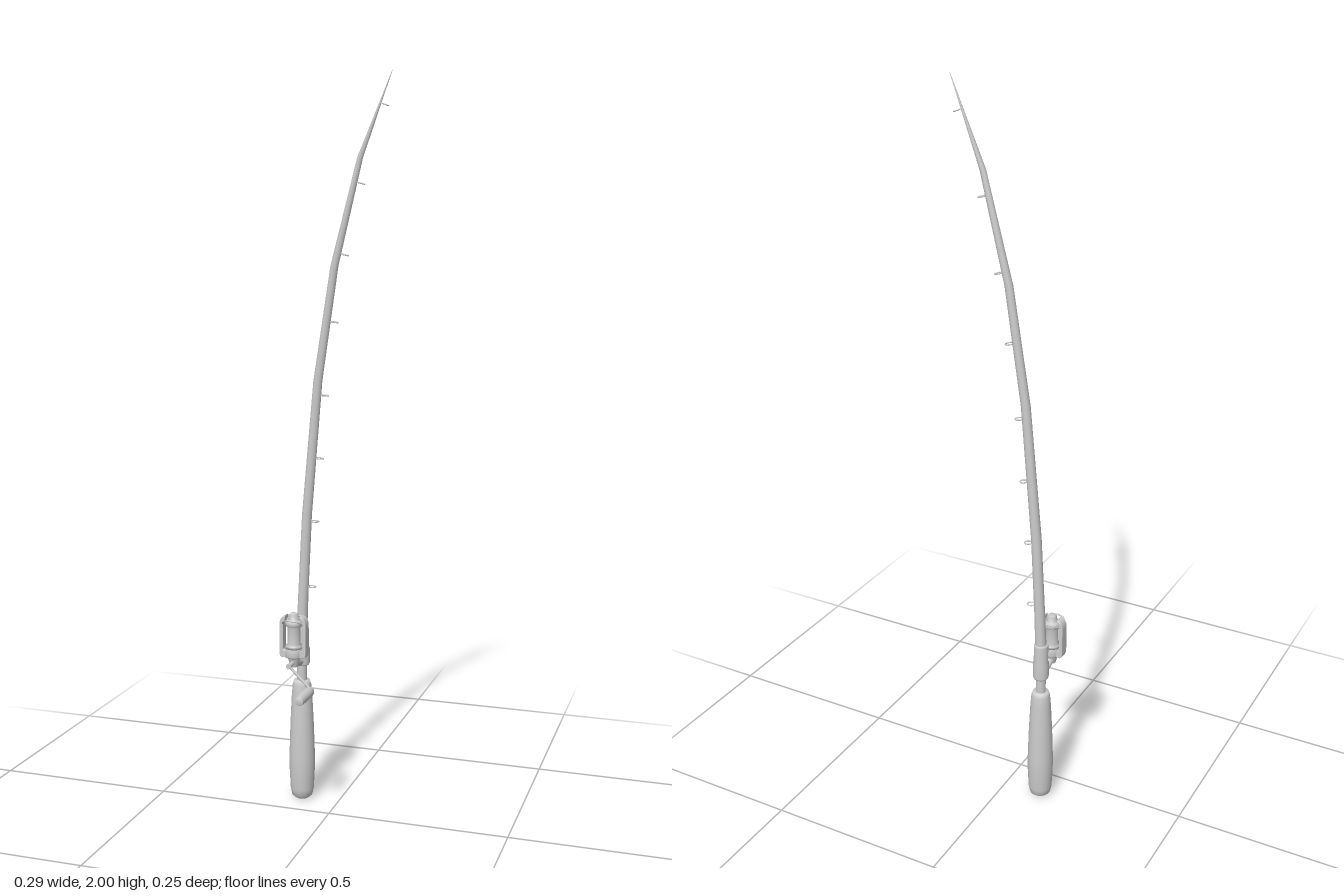
import * as THREE from 'three';

const X = -0.108, Z = -0.088;   // handle axis
const RZ = -0.022;              // reel axis depth
const mat = new THREE.MeshStandardMaterial({ color: 0xcccccc, side: THREE.DoubleSide });
const V = (x, y, z) => new THREE.Vector3(x, y, z);

export function createModel() {
  const root = new THREE.Group();
  const add = (name, geo, parent = root) => {
    const m = new THREE.Mesh(geo, mat);
    m.name = name;
    parent.add(m);
    return m;
  };
  const lathe = (name, pts, x, z, parent, seg = 20) => {
    const m = add(name, new THREE.LatheGeometry(pts.map(p => new THREE.Vector2(p[0], p[1])), seg), parent);
    m.position.set(x, 0, z);
    return m;
  };
  // straight round bar between two points
  const bar = (name, a, b, ra, rb, parent, seg = 14) => {
    const m = add(name, new THREE.CylinderGeometry(rb, ra, a.distanceTo(b), seg), parent);
    m.position.copy(a).lerp(b, 0.5);
    m.quaternion.setFromUnitVectors(V(0, 1, 0), b.clone().sub(a).normalize());
    return m;
  };

  // grip, neck and reel seat
  lathe('grip', [[0, 0], [0.02, 0.002], [0.029, 0.01], [0.033, 0.03], [0.036, 0.09], [0.036, 0.13],
    [0.033, 0.22], [0.029, 0.3], [0.026, 0.335], [0.022, 0.347], [0, 0.35]], X, Z);
  bar('neck', V(X, 0.34, Z), V(X, 0.4, Z), 0.014, 0.014);
  lathe('reelSeat', [[0, 0.392], [0.02, 0.392], [0.022, 0.396], [0.022, 0.44], [0.02, 0.444],
    [0.02, 0.494], [0.018, 0.499], [0, 0.5]], X, Z);

  // bent tapering blank: x, y, radius for each cross-section
  const sections = [[-0.108, 0.48, 0.0155], [-0.103, 0.6, 0.0145], [-0.092, 0.82, 0.014],
    [-0.06, 1.19, 0.0125], [-0.013, 1.5, 0.011], [0.057, 1.78, 0.008], [0.143, 2, 0.0006]];
  const blank = new THREE.CylinderGeometry(1, 1, 1, 12, sections.length - 1);
  const p = blank.attributes.position;
  for (let i = 0; i < p.count; i++) {
    const [sx, sy, r] = sections[Math.round((p.getY(i) + 0.5) * (sections.length - 1))];
    p.setXYZ(i, sx + p.getX(i) * r, sy, Z + p.getZ(i) * r);
  }
  blank.computeVertexNormals();
  add('rodBlank', blank);

  // line guides, square to the blank on its inner side
  for (const y of [0.615, 0.8, 0.977, 1.15, 1.35, 1.53, 1.715, 1.915]) {
    const k = sections.findIndex(s => s[1] > y), a = sections[k - 1], b = sections[k];
    const t = (y - a[1]) / (b[1] - a[1]);
    const dir = V(b[0] - a[0], b[1] - a[1], 0).normalize();
    const off = THREE.MathUtils.lerp(a[2], b[2], t) + 0.0105;
    const ring = add('lineGuide', new THREE.TorusGeometry(0.0105, 0.0016, 6, 18));
    ring.position.set(THREE.MathUtils.lerp(a[0], b[0], t) + off * dir.y, y + 0.004 - off * dir.x, Z);
    ring.quaternion.setFromUnitVectors(V(0, 0, 1), dir);
  }

  // reel: foot, rotor, spool
  const reel = new THREE.Group();
  reel.name = 'reel';
  root.add(reel);
  bar('reelFoot', V(X, 0.402, Z + 0.012), V(X, 0.418, RZ), 0.011, 0.01, reel);
  bar('gearHousing', V(X, 0.405, RZ), V(X, 0.44, RZ), 0.011, 0.02, reel);
  lathe('rotor', [[0, 0.432], [0.022, 0.432], [0.025, 0.436], [0.025, 0.456], [0.02, 0.46], [0, 0.46]], X, RZ, reel);
  lathe('spool', [[0, 0.458], [0.024, 0.458], [0.024, 0.466], [0.018, 0.47], [0.018, 0.518], [0.024, 0.522],
    [0.024, 0.532], [0.02, 0.538], [0.013, 0.538], [0.013, 0.552], [0.009, 0.557], [0, 0.557]], X, RZ, reel);

  // rotor arms and bail wires
  const armShape = new THREE.Shape();
  armShape.moveTo(0.02, 0.434).lineTo(0.031, 0.434).quadraticCurveTo(0.037, 0.437, 0.037, 0.448);
  armShape.lineTo(0.037, 0.525).quadraticCurveTo(0.036, 0.545, 0.022, 0.549);
  armShape.lineTo(0.022, 0.541).quadraticCurveTo(0.029, 0.536, 0.029, 0.522);
  armShape.lineTo(0.029, 0.455).lineTo(0.02, 0.45).closePath();
  const armGeo = new THREE.ExtrudeGeometry(armShape, { depth: 0.022, bevelEnabled: true,
    bevelSize: 0.0015, bevelThickness: 0.003, bevelSegments: 2, curveSegments: 6 });
  armGeo.translate(0, 0, -0.011);
  for (const s of [0, 1]) {
    const arm = add('rotorArm', armGeo, reel);
    arm.position.set(X, 0, RZ);
    arm.rotation.y = s * Math.PI;
    const f = s ? -1 : 1;
    const wire = new THREE.CatmullRomCurve3([V(-0.03, 0.525, f * 0.006), V(-0.026, 0.533, f * 0.02),
      V(-0.018, 0.54, f * 0.029), V(0.018, 0.54, f * 0.029), V(0.026, 0.533, f * 0.02), V(0.03, 0.525, f * 0.006)]);
    add('bailWire', new THREE.TubeGeometry(wire, 28, 0.0022, 8), reel).position.set(X, 0, RZ);
  }

  // crank: axle, arm, knob
  const crank = new THREE.Group();
  crank.name = 'crank';
  root.add(crank);
  const KX = -0.045, KY = 0.357;
  bar('crankAxle', V(X, 0.418, RZ), V(X, 0.418, 0.012), 0.006, 0.006, crank);
  bar('crankHub', V(X, 0.418, 0.01), V(X, 0.418, 0.025), 0.0075, 0.0075, crank);
  bar('crankArm', V(X, 0.418, 0.019), V(KX, KY, 0.019), 0.0038, 0.0038, crank);
  bar('crankPin', V(KX, KY, 0.014), V(KX, KY, 0.03), 0.007, 0.006, crank);
  const knob = lathe('crankKnob', [[0, 0.027], [0.011, 0.027], [0.0135, 0.032], [0.0145, 0.055],
    [0.0145, 0.085], [0.0125, 0.118], [0.011, 0.122], [0, 0.122]], KX, 0, crank, 16);
  knob.position.y = KY;
  knob.rotation.x = Math.PI / 2;

  return root;
}
